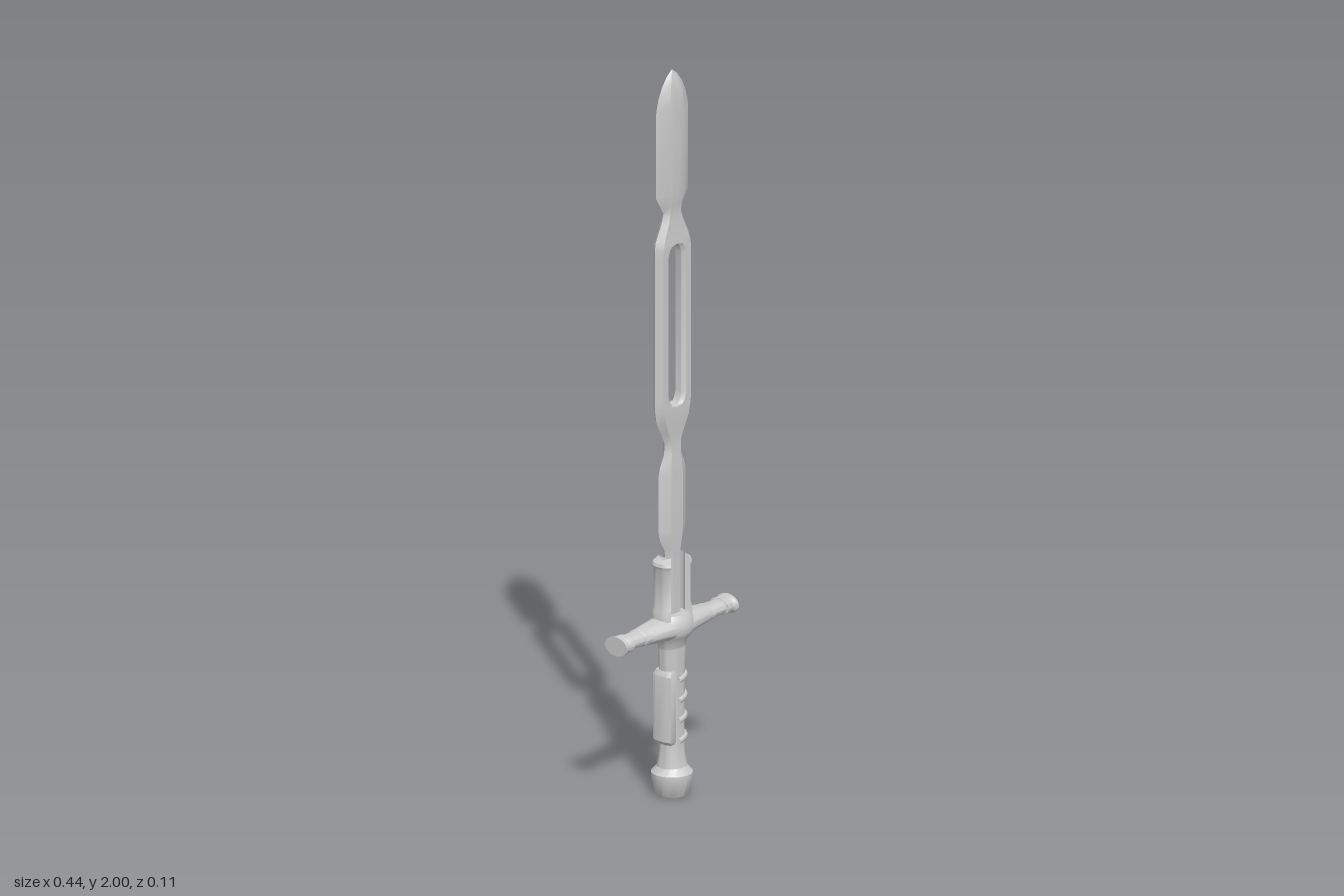
import * as THREE from 'three';
import { toCreasedNormals } from 'three/addons/utils/BufferGeometryUtils.js';

const material = new THREE.MeshStandardMaterial({ color: 0xcccccc });

function part(parent, name, geometry) {
  const mesh = new THREE.Mesh(geometry, material);
  mesh.name = name;
  parent.add(mesh);
  return mesh;
}

// Skin counter-clockwise rings of [x, y, z] stacked upwards, and cap both ends
function loft(rings, crease = 0.6) {
  const n = rings[0].length, pos = rings.flat(2), index = [];
  for (let i = 0; i < rings.length - 1; i++) {
    for (let j = 0; j < n; j++) {
      const k = (j + 1) % n, a = i * n + j, b = i * n + k;
      index.push(a, b, b + n, a, b + n, a + n);
    }
  }
  [0, rings.length - 1].forEach((i, top) => {
    const c = pos.length / 3;
    for (let axis = 0; axis < 3; axis++) pos.push(rings[i].reduce((s, p) => s + p[axis], 0) / n);
    for (let j = 0; j < n; j++) {
      const a = i * n + j, b = i * n + (j + 1) % n;
      index.push(c, ...(top ? [a, b] : [b, a]));
    }
  });
  const g = new THREE.BufferGeometry();
  g.setAttribute('position', new THREE.Float32BufferAttribute(pos, 3));
  g.setIndex(index);
  return toCreasedNormals(g, crease);
}

// Elliptical rings from rows of [height, x radius, z radius]
const ovalLoft = (rows, sides = 28) => loft(rows.map(([y, rx, rz]) =>
  Array.from({ length: sides }, (_, i) => {
    const a = i / sides * Math.PI * 2;
    return [rx * Math.cos(a), y, -rz * Math.sin(a)];
  })));

// Half of the blade: rows of [height, edge, ridge, half thickness, slot half width]
const bladeRows = [
  [0.48, 0.022, 0.015, 0.016, 0], [0.65, 0.025, 0.015, 0.016, 0],
  [0.68, 0.031, 0.015, 0.017, 0], [0.715, 0.05, 0.021, 0.018, 0],
  [0.735, 0.053, 0.022, 0.018, 0], [0.89, 0.053, 0.022, 0.018, 0],
  [0.91, 0.048, 0.021, 0.017, 0], [0.945, 0.031, 0.018, 0.015, 0],
  [0.975, 0.03, 0.019, 0.014, 0], [1.0, 0.042, 0.028, 0.015, 0],
  [1.04, 0.062, 0.045, 0.018, 0], [1.072, 0.067, 0.052, 0.018, 0],
  [1.076, 0.067, 0.053, 0.018, 0.011], [1.085, 0.067, 0.054, 0.018, 0.019],
  [1.105, 0.067, 0.054, 0.018, 0.025], [1.49, 0.067, 0.054, 0.018, 0.025],
  [1.51, 0.067, 0.054, 0.018, 0.019], [1.519, 0.067, 0.053, 0.018, 0.011],
  [1.523, 0.067, 0.052, 0.018, 0], [1.54, 0.064, 0.046, 0.016, 0],
  [1.585, 0.041, 0.027, 0.014, 0], [1.61, 0.034, 0.02, 0.013, 0],
  [1.63, 0.045, 0.022, 0.015, 0], [1.66, 0.064, 0.026, 0.018, 0],
  [1.89, 0.064, 0.026, 0.018, 0], [1.93, 0.054, 0.024, 0.017, 0],
  [1.96, 0.04, 0.019, 0.013, 0], [1.985, 0.021, 0.01, 0.007, 0],
  [2.0, 0.002, 0.001, 0.001, 0],
];

function bladeHalf() {
  return loft(bladeRows.map(([y, w, f, t, s]) => {
    const b = Math.min(0.01, s), inner = t - b * 0.8; // bevel round the slot
    return [[w, y, 0], [f, y, -t], [s + b, y, -t], [s, y, -inner],
      [s, y, inner], [s + b, y, t], [f, y, t]];
  }), 0.5);
}

// Curved prong with a sloping top, hugging the blade root
function prong() {
  const ring = (y, slope, grow) => {
    const pts = [];
    for (let i = 0; i <= 8; i++) {
      const a = (i / 8 - 0.5) * 1.9;
      pts.push([(0.058 + grow) * Math.cos(a) ** 0.6, y - slope, -(0.041 + grow) * Math.sin(a)]);
    }
    for (let i = 8; i >= 0; i--) {
      const a = (i / 8 - 0.5) * 1.7;
      pts.push([0.036 * Math.cos(a) ** 0.6, y, -0.028 * Math.sin(a)]);
    }
    return pts;
  };
  return loft([ring(0.48, 0, 0), ring(0.515, 0, 0), ring(0.525, 0, -0.004),
    ring(0.63, 0, -0.004), ring(0.64, 0, 0), ring(0.662, 0.014, -0.003)]);
}

// Finger ridge: a band bent round the +x side of the grip
function fingerRidge(y) {
  const pts = [];
  for (let i = 0; i <= 12; i++) {
    const a = (i / 12 - 0.5) * Math.PI * 1.1;
    pts.push(new THREE.Vector3(0.037 * Math.cos(a), y + 0.008 * (Math.cos(a) - 0.5), -0.027 * Math.sin(a)));
  }
  return new THREE.TubeGeometry(new THREE.CatmullRomCurve3(pts), 24, 0.0095, 8);
}

export function createModel() {
  const model = new THREE.Group();
  model.name = 'sword';

  // Blade and prongs, mirrored by a half turn
  for (const [side, turn] of [['left', 0], ['right', Math.PI]]) {
    part(model, side + 'BladeHalf', bladeHalf()).rotation.y = turn;
    part(model, side + 'Prong', prong()).rotation.y = turn;
  }

  // Crossguard arms with stepped sleeves and flared ends
  const arm = [[0, 0.034, 0.054], [0.03, 0.033, 0.049], [0.06, 0.029, 0.043], [0.11, 0.024, 0.036],
    [0.115, 0.023, 0.034], [0.135, 0.022, 0.034], [0.138, 0.02, 0.03], [0.184, 0.019, 0.029],
    [0.186, 0.023, 0.034], [0.2, 0.023, 0.034], [0.204, 0.021, 0.032], [0.212, 0.022, 0.034],
    [0.216, 0.026, 0.038], [0.222, 0.026, 0.038]];
  const rows = [...arm.slice(1).reverse().map(([x, a, b]) => [-x, a, b]), ...arm];
  const guard = part(model, 'crossguard', ovalLoft(rows));
  guard.rotation.z = -Math.PI / 2;
  guard.position.y = 0.465;

  // Hub under the blade
  part(model, 'hub', ovalLoft([[0.4, 0.04, 0.031], [0.425, 0.045, 0.035], [0.442, 0.056, 0.048],
    [0.456, 0.065, 0.054], [0.478, 0.064, 0.053], [0.492, 0.058, 0.046], [0.502, 0.05, 0.04]]));

  // Grip
  part(model, 'grip', ovalLoft([[0.06, 0.043, 0.043], [0.085, 0.041, 0.038], [0.11, 0.037, 0.033],
    [0.14, 0.035, 0.031], [0.2, 0.036, 0.03], [0.34, 0.038, 0.03], [0.37, 0.04, 0.031], [0.42, 0.042, 0.033]]));
  for (let i = 0; i < 4; i++) part(model, 'fingerRidge', fingerRidge(0.157 + i * 0.056));

  // Raised panel along the back of the grip
  const panel = (y, x, z) => [[-0.02, y, -z], [-x + 0.006, y, -z], [-x, y, -z * 0.6],
    [-x, y, z * 0.6], [-x + 0.006, y, z], [-0.02, y, z]];
  part(model, 'gripPanel', loft([panel(0.145, 0.038, 0.026), panel(0.155, 0.046, 0.031),
    panel(0.335, 0.046, 0.031), panel(0.348, 0.038, 0.026)]));

  // Pommel
  part(model, 'pommel', ovalLoft([[0, 0.043, 0.043], [0.004, 0.046, 0.046], [0.052, 0.055, 0.055],
    [0.062, 0.055, 0.055], [0.072, 0.046, 0.045], [0.08, 0.041, 0.039]]));

  return model;
}
